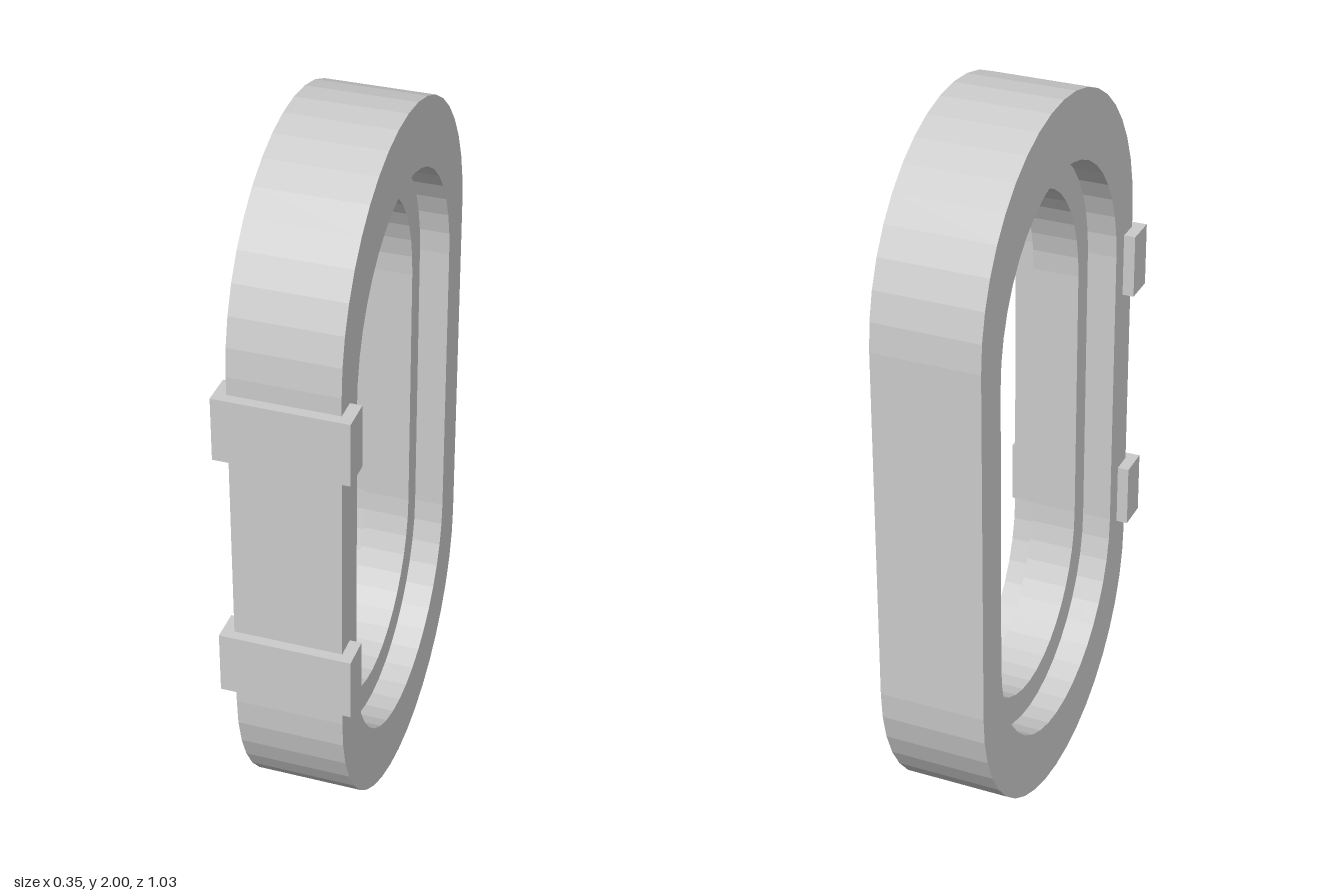
import * as THREE from 'three';

const material = new THREE.MeshStandardMaterial({ color: 0xcccccc, flatShading: true });
const CX = -0.002, CZ = -0.014; // centre of the ring

// Unit stadium outline in (z, y): two semicircles joined by straight sides
function stadium(steps = 20) {
  const pts = [];
  for (const half of [0, 1]) {
    for (let i = 0; i <= steps; i++) {
      const a = Math.PI * (half + i / steps);
      pts.push([Math.cos(a), (half ? -0.5 : 0.5) + 0.5 * Math.sin(a)]);
    }
  }
  return pts;
}

// Sweep a closed section of [x, half width, half height] around the outline
function ringGeometry(section) {
  const outline = stadium(), n = outline.length, m = section.length, pos = [];
  const point = (i, j) => {
    const [z, y] = outline[i % n], [x, w, h] = section[j % m];
    return [CX + x, 1 + y * h, CZ + z * w];
  };
  for (let i = 0; i < n; i++) {
    for (let j = 0; j < m; j++) {
      const a = point(i, j), b = point(i + 1, j), c = point(i + 1, j + 1), d = point(i, j + 1);
      pos.push(...a, ...b, ...c, ...a, ...c, ...d);
    }
  }
  const g = new THREE.BufferGeometry();
  g.setAttribute('position', new THREE.Float32BufferAttribute(pos, 3));
  g.computeVertexNormals();
  return g;
}

export function createModel() {
  const model = new THREE.Group();
  model.name = 'ovalFrame';

  // Oval frame with a stepped recess on both faces
  const face = 0.145, ledge = 0.064;
  const outer = [0.499, 1], recess = [0.385, 0.817], opening = [0.319, 0.732];
  const frame = new THREE.Mesh(ringGeometry([
    [face, ...outer], [-face, ...outer],
    [-face, ...recess], [-ledge, ...recess],
    [-ledge, ...opening], [ledge, ...opening],
    [ledge, ...recess], [face, ...recess],
  ]), material);
  frame.name = 'frame';
  model.add(frame);

  // Two hinge blocks wrapping the front edge
  [['lowerHinge', 0.643], ['upperHinge', 1.362]].forEach(([name, y]) => {
    const hinge = new THREE.Mesh(new THREE.BoxGeometry(0.353, 0.176, 0.088), material);
    hinge.name = name;
    hinge.position.set(CX, y, 0.469);
    model.add(hinge);
  });

  return model;
}
